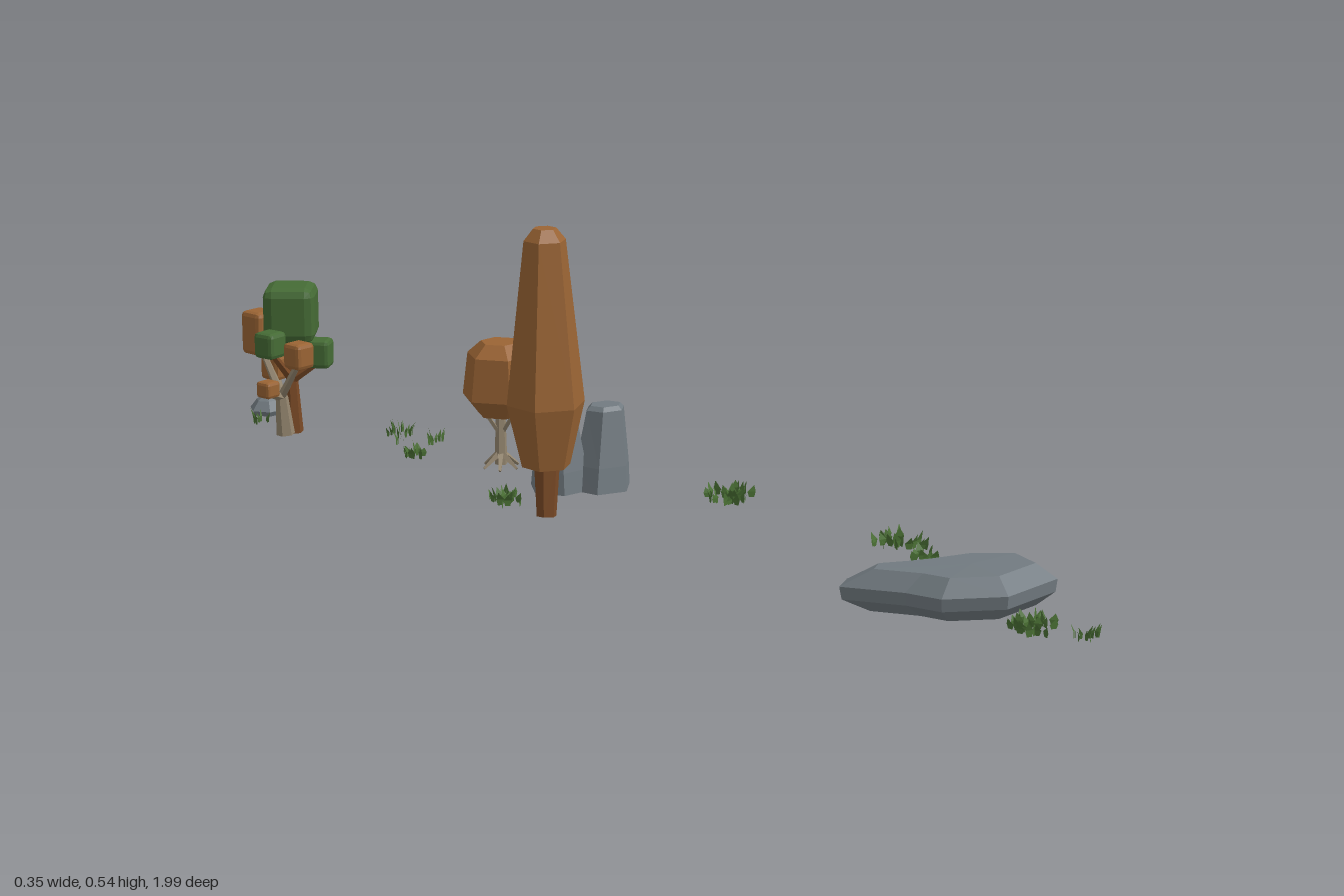
import * as THREE from 'three';
import { RoundedBoxGeometry } from 'three/addons/geometries/RoundedBoxGeometry.js';

const mat = (color, side = THREE.FrontSide) => new THREE.MeshStandardMaterial({ color, flatShading: true, side });
const BROWN = mat(0x9a6434), BARK = mat(0x7a4a26), TAN = mat(0x94866f);
const GREEN = mat(0x456b35), STONE = mat(0x737c82), GRASS = mat(0x4a7034, THREE.DoubleSide);

export function createModel() {
  const model = new THREE.Group();

  const add = (parent, name, geometry, material, x = 0, y = 0, z = 0) => {
    const mesh = new THREE.Mesh(geometry, material);
    mesh.name = name;
    mesh.position.set(x, y, z);
    parent.add(mesh);
    return mesh;
  };
  const group = (name) => {
    const g = new THREE.Group();
    g.name = name;
    model.add(g);
    return g;
  };

  // Faceted solid of revolution from [radius, height] pairs, closed at both ends
  const turned = (profile, sides, turn = 0) => {
    const pts = [[0, profile[0][1]], ...profile, [0, profile[profile.length - 1][1]]];
    return new THREE.LatheGeometry(pts.map(([r, y]) => new THREE.Vector2(r, y)), sides, turn);
  };

  // Tapered limb between two points
  const limb = (parent, name, a, b, r0, r1, material, sides = 6) => {
    const p = new THREE.Vector3(...a), q = new THREE.Vector3(...b);
    const dir = q.clone().sub(p);
    const mesh = add(parent, name, new THREE.CylinderGeometry(r1, r0, dir.length(), sides), material);
    mesh.position.copy(p).add(q).multiplyScalar(0.5);
    mesh.quaternion.setFromUnitVectors(new THREE.Vector3(0, 1, 0), dir.normalize());
  };

  // Tall tree
  const tall = group('tallTree');
  limb(tall, 'trunk', [-0.112, 0.028, -0.108], [-0.103, 0.13, -0.115], 0.018, 0.024, BARK);
  add(tall, 'crown', turned([[0.044, 0.118], [0.071, 0.232], [0.038, 0.525], [0.021, 0.546]], 6), BROWN, -0.104, 0, -0.116);

  // Small round tree with spreading roots
  const round = group('roundTree');
  add(round, 'crown', turned([[0.042, 0.15], [0.072, 0.185], [0.062, 0.264], [0.036, 0.287]], 6, Math.PI / 6), BROWN, 0, 0, -0.342);
  limb(round, 'trunk', [0, 0.055, -0.342], [0, 0.16, -0.342], 0.012, 0.009, TAN);
  for (let i = 0; i < 6; i++) {
    const a = i * Math.PI / 3 + 0.3;
    limb(round, 'root', [0.035 * Math.cos(a), 0.05, -0.342 + 0.035 * Math.sin(a)], [0, 0.078, -0.342], 0.003, 0.008, TAN, 4);
    if (i % 2) limb(round, 'branch', [0, 0.11, -0.342], [0.03 * Math.cos(a), 0.155, -0.342 + 0.03 * Math.sin(a)], 0.005, 0.004, TAN, 4);
  }

  // Pair of trees with chamfered block foliage: [x, y, z, width, height, turn]
  const blockTree = (name, leaf, bark, foot, fork, blocks) => {
    const g = group(name);
    limb(g, 'trunk', foot, fork, 0.018, 0.012, bark);
    blocks.forEach(([x, y, z, w, h, turn]) => {
      limb(g, 'branch', fork, [x, y - h * 0.3, z], 0.009, 0.006, bark, 5);
      add(g, 'foliage', new RoundedBoxGeometry(w, h, w, 1, w * 0.18), leaf, x, y, z).rotation.y = turn;
    });
  };
  blockTree('greenTree', GREEN, BARK, [-0.078, 0.037, -0.84], [-0.082, 0.14, -0.838], [
    [-0.08, 0.275, -0.838, 0.098, 0.108, 0.75],
    [-0.152, 0.227, -0.815, 0.046, 0.05, 0.15],
    [-0.038, 0.186, -0.888, 0.052, 0.064, 0.6],
    [-0.052, 0.198, -0.788, 0.045, 0.055, 0.6],
  ]);
  blockTree('brownTree', BROWN, TAN, [-0.108, 0.04, -0.83], [-0.115, 0.115, -0.83], [
    [-0.12, 0.235, -0.885, 0.052, 0.085, 0.05],
    [-0.12, 0.208, -0.77, 0.044, 0.05, 0.05],
    [-0.16, 0.141, -0.815, 0.034, 0.032, 0.1],
    [-0.092, 0.165, -0.872, 0.045, 0.05, 0.2],
  ]);

  // Standing stones: tapering hexagonal pillars with a slanted, leaning top
  const pillar = (x, z, height, lean, slant, turn) => {
    const g = turned([[0.058, 0], [0.053, height * 0.3], [0.037, height * 0.95], [0.029, height]], 6, turn);
    const p = g.attributes.position;
    for (let i = 0; i < p.count; i++) {
      const t = p.getY(i) / height;
      p.setXYZ(i, p.getX(i) + lean * t, p.getY(i) + slant * t * p.getZ(i), p.getZ(i));
    }
    add(model, 'standingStone', g, STONE, x, 0.033, z);
  };
  pillar(0.075, -0.158, 0.153, 0.013, 0.05, 0.15);
  pillar(0.02, -0.207, 0.133, -0.003, 0.05, 0.4);

  // Small far rock
  add(model, 'smallRock', turned([[0.03, 0.044], [0.036, 0.054], [0.022, 0.072], [0.012, 0.079]], 6, 0.5), STONE, -0.043, 0, -0.963);

  // Large tilted boulder: one outline (x, z) stacked in scaled rings
  const outline = [[-0.098, 0.56], [-0.07, 0.675], [-0.07, 0.75], [0, 0.83], [0.13, 0.83],
    [0.174, 0.74], [0.12, 0.655], [0.037, 0.61], [-0.005, 0.58], [-0.053, 0.538]];
  const rings = [[0, 0.012], [0.76, 0.012], [0.98, 0.034], [1, 0.056], [0.74, 0.084], [0, 0.086]];
  const verts = [], faces = [], n = outline.length;
  rings.forEach(([s, y]) => outline.forEach(([x, z]) => {
    const px = 0.045 + (x - 0.045) * s, pz = 0.72 + (z - 0.72) * s;
    verts.push(px, y + 0.08 * (pz - 0.69), pz);
  }));
  for (let r = 0; r < rings.length - 1; r++) {
    for (let i = 0; i < n; i++) {
      const a = r * n + i, b = r * n + (i + 1) % n;
      if (r > 0) faces.push(a, b, a + n);
      if (r === 0 || r < rings.length - 2) faces.push(b, b + n, a + n);
    }
  }
  const boulder = new THREE.BufferGeometry();
  boulder.setAttribute('position', new THREE.Float32BufferAttribute(verts, 3));
  boulder.setIndex(faces);
  boulder.computeVertexNormals();
  add(model, 'boulder', boulder, STONE);

  // Grass tufts: pointed leaves scattered around a centre
  let seed = 7;
  const rand = () => (seed = (seed * 16807) % 2147483647) / 2147483647;
  const tuft = (x, y, z, radius, count, height, width) => {
    const pos = [];
    for (let i = 0; i < count; i++) {
      const a = rand() * Math.PI * 2, d = radius * Math.sqrt(rand()), face = rand() * Math.PI;
      const cx = d * Math.cos(a), cz = d * Math.sin(a), h = height * (0.6 + 0.4 * rand());
      const wx = width * Math.cos(face) / 2, wz = width * Math.sin(face) / 2;
      const lx = 0.25 * h * Math.cos(a), lz = 0.25 * h * Math.sin(a);
      const left = [cx - wx, h * 0.45, cz - wz], right = [cx + wx, h * 0.45, cz + wz];
      pos.push(cx - wx * 0.6, 0, cz - wz * 0.6, cx + wx * 0.6, 0, cz + wz * 0.6, ...right);
      pos.push(cx - wx * 0.6, 0, cz - wz * 0.6, ...right, ...left);
      pos.push(...left, ...right, cx + lx, h, cz + lz);
    }
    const g = new THREE.BufferGeometry();
    g.setAttribute('position', new THREE.Float32BufferAttribute(pos, 3));
    g.computeVertexNormals();
    add(model, 'grass', g, GRASS, x, y, z);
  };
  // Leafy tufts
  [[0.005, 0.022, 0.885, 0.045, 26], [0.1, 0.062, 0.525, 0.045, 26], [0.075, 0.06, 0.6, 0.02, 8],
    [0.088, 0.069, 0.155, 0.05, 30], [-0.108, 0.03, -0.215, 0.038, 24], [-0.058, 0.047, -0.508, 0.024, 12]]
    .forEach(([x, y, z, r, c]) => tuft(x, y, z, r, c, 0.026, 0.015));
  // Thin blades
  [[0.015, 0.028, 0.972, 0.022, 10], [0.003, 0.056, -0.615, 0.03, 16], [0.022, 0.05, -0.548, 0.02, 9],
    [-0.035, 0.05, -0.585, 0.01, 4], [-0.095, 0.043, -0.918, 0.016, 8]]
    .forEach(([x, y, z, r, c]) => tuft(x, y, z, r, c, 0.03, 0.006));

  return model;
}
